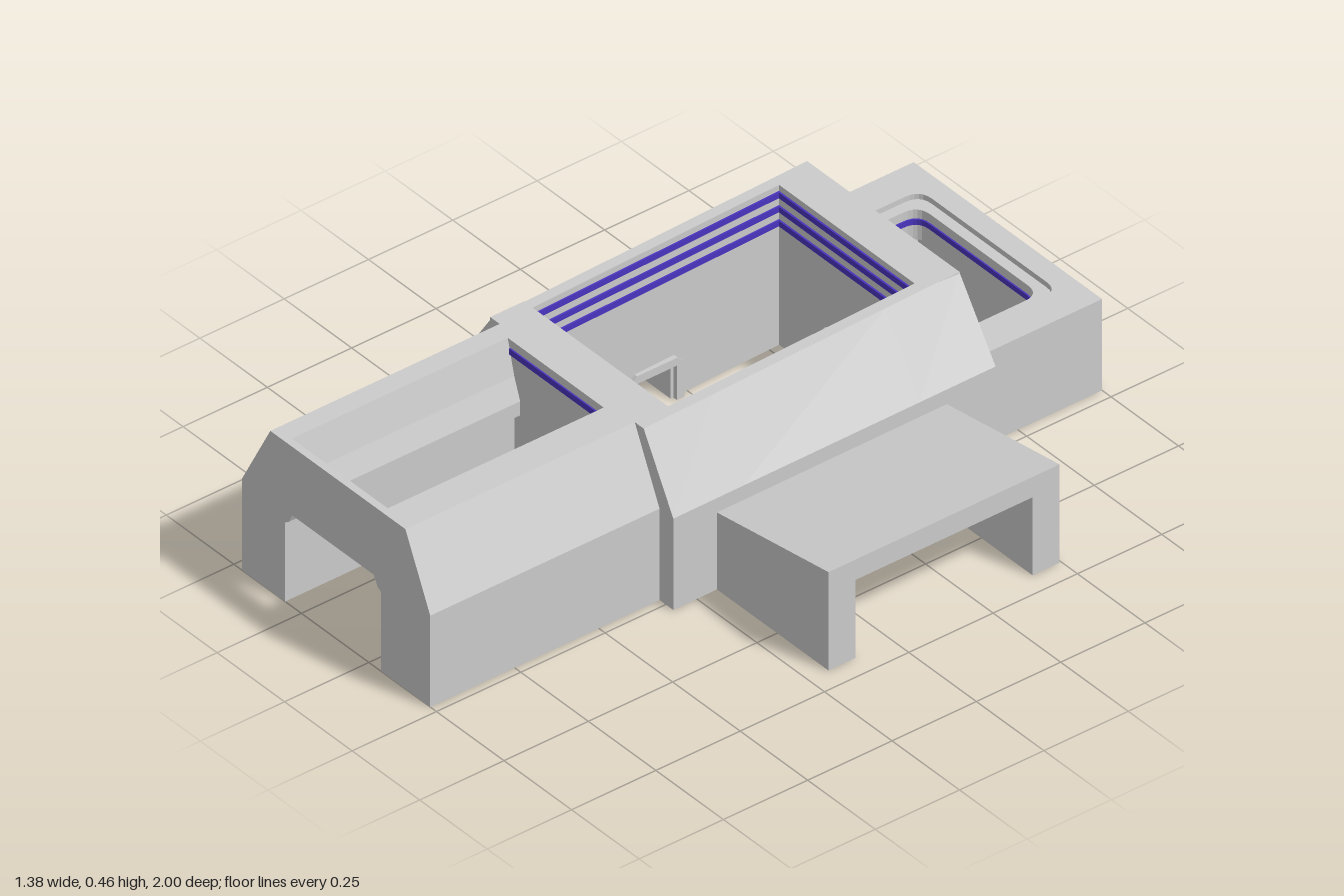
import * as THREE from 'three';

const GREY = 0xcccccc, BLUE = 0x4a35c0, PURPLE = 0x4a2a55;
const material = (color) => new THREE.MeshStandardMaterial({ color, flatShading: true, side: THREE.DoubleSide });
const grey = material(GREY), blue = material(BLUE), purple = material(PURPLE);

export function createModel() {
  const root = new THREE.Group();

  const add = (name, geometry, mat = grey, parent = root) => {
    const mesh = new THREE.Mesh(geometry, mat);
    mesh.name = name;
    parent.add(mesh);
  };
  const toShape = (pts) => (pts instanceof THREE.Shape ? pts : new THREE.Shape(pts.map(([a, b]) => new THREE.Vector2(a, b))));
  // outline in (x, y) swept along z
  const sweepZ = (pts, z0, z1) =>
    new THREE.ExtrudeGeometry(toShape(pts), { depth: z1 - z0, bevelEnabled: false, curveSegments: 8 }).translate(0, 0, z0);
  // outline in (z, y) swept along x
  const sweepX = (pts, x0, x1) =>
    sweepZ(pts.map(([z, y]) => [-z, y]), x0, x1).rotateY(Math.PI / 2);
  const box = (x0, x1, y0, y1, z0, z1) =>
    new THREE.BoxGeometry(x1 - x0, y1 - y0, z1 - z0).translate((x0 + x1) / 2, (y0 + y1) / 2, (z0 + z1) / 2);
  const roundRect = (s, x0, x1, y0, y1, r) => {
    s.moveTo(x0 + r, y0);
    s.lineTo(x1 - r, y0).quadraticCurveTo(x1, y0, x1, y0 + r);
    s.lineTo(x1, y1 - r).quadraticCurveTo(x1, y1, x1 - r, y1);
    s.lineTo(x0 + r, y1).quadraticCurveTo(x0, y1, x0, y1 - r);
    s.lineTo(x0, y0 + r).quadraticCurveTo(x0, y0, x0 + r, y0);
    return s;
  };
  // wall (x0..x1, 0..h) with an arched doorway open to the ground
  const archWall = (x0, x1, h, a0, a1, ah, r) => {
    const s = new THREE.Shape();
    s.moveTo(x0, 0);
    s.lineTo(a0, 0);
    s.lineTo(a0, ah - r);
    s.absarc(a0 + r, ah - r, r, Math.PI, Math.PI / 2, true);
    s.absarc(a1 - r, ah - r, r, Math.PI / 2, 0, true);
    s.lineTo(a1, 0);
    s.lineTo(x1, 0);
    s.lineTo(x1, h);
    s.lineTo(x0, h);
    s.closePath();
    return s;
  };

  // main hall: the roof and inner walls are slightly skewed along z
  const H = 0.455, SH = 0.26;
  const skew = (geo) => {
    const p = geo.attributes.position;
    for (let i = 0; i < p.count; i++) {
      const full = p.getY(i) > 0.3 || Math.abs(p.getX(i) + 0.128) < 0.27;
      p.setX(i, p.getX(i) + (p.getZ(i) + 0.16) * (full ? 0.032 : 0.006));
    }
    geo.computeVertexNormals();
    return geo;
  };
  const hall = new THREE.Group();
  hall.name = 'mainHall';
  root.add(hall);

  const IL = -0.38, IR = 0.122;
  const sideWall = (name, side, sections) => {
    const [out, top, inn] = side < 0 ? [-0.528, -0.41, IL] : [0.275, 0.153, IR];
    // each section: [z0, z1, height of the underside]
    for (const [z0, z1, y] of sections)
      add(name, skew(sweepZ([[out, y], [out, SH], [top, H], [inn, H], [inn, y]], z0, z1)), grey, hall);
  };
  sideWall('hallRightWall', -1, [[-0.64, -0.2, 0], [-0.2, -0.1, 0.105], [-0.1, 0.32, 0]]);
  sideWall('hallLeftWall', 1, [[-0.64, -0.415, 0], [-0.415, 0.11, 0.18], [0.11, 0.32, 0]]);

  const doorL = -0.235, doorR = -0.025, doorH = 0.15;
  for (const [name, z0, z1] of [['hallFrontWall', 0.22, 0.32], ['hallBackWall', -0.64, -0.53]])
    add(name, sweepZ(archWall(-0.4, 0.14, H, doorL, doorR, doorH, 0.055), z0, z1), grey, hall);

  // raised arch trims around both doors
  const trim = new THREE.Shape();
  trim.moveTo(doorL - 0.01, 0);
  trim.lineTo(doorL - 0.01, doorH - 0.055);
  trim.absarc(doorL + 0.055, doorH - 0.055, 0.065, Math.PI, Math.PI / 2, true);
  trim.absarc(doorR - 0.055, doorH - 0.055, 0.065, Math.PI / 2, 0, true);
  trim.lineTo(doorR + 0.01, 0);
  trim.lineTo(doorR, 0);
  trim.lineTo(doorR, doorH - 0.055);
  trim.absarc(doorR - 0.055, doorH - 0.055, 0.055, 0, Math.PI / 2, false);
  trim.absarc(doorL + 0.055, doorH - 0.055, 0.055, Math.PI / 2, Math.PI, false);
  trim.lineTo(doorL, 0);
  trim.closePath();
  for (const z of [0.32, 0.208, -0.53]) add('doorTrim', sweepZ(trim, z, z + 0.012), grey, hall);

  // three bands of light below the roof opening
  for (const y of [0.43, 0.39, 0.35]) {
    const h = 0.016, t = 0.005;
    add('lightBand', skew(box(IL, IL + t, y - h / 2, y + h / 2, -0.53, 0.22)), blue, hall);
    add('lightBand', skew(box(IR - t, IR, y - h / 2, y + h / 2, -0.53, 0.22)), blue, hall);
    for (const z of [-0.53, 0.22 - t])
      add('lightBand', skew(box(IL, IR, y - h / 2, y + h / 2, z, z + t)), blue, hall);
  }

  // front corridor: two thick sides with an inner ledge, joined by end beams
  const corridor = new THREE.Group();
  corridor.name = 'frontCorridor';
  root.add(corridor);
  const corridorSide = (out, top, inn, s) => [
    [out, 0], [out, SH], [top, H], [inn, H], [inn + s * 0.024, 0.36], [inn + s * 0.046, 0.3],
    [inn + s * 0.046, SH], [inn + s * 0.026, SH], [inn + s * 0.014, 0.235], [inn, 0.225], [inn, 0],
  ];
  add('corridorRightSide', sweepZ(corridorSide(-0.47, -0.365, -0.31, 1), 0.32, 1), grey, corridor);
  add('corridorLeftSide', sweepZ(corridorSide(0.227, 0.135, 0.045, -1), 0.32, 1), grey, corridor);
  for (const z of [0.32, 0.98])
    add('corridorBeam', box(-0.312, 0.047, SH, H, z, z + 0.02), grey, corridor);
  add('corridorLight', box(-0.3, 0.035, 0.415, 0.432, 0.34, 0.344), blue, corridor);

  // rear chamber: block with a rounded well, stepped rim and light ring
  const rear = new THREE.Group();
  rear.name = 'rearChamber';
  root.add(rear);
  const block = [[-0.48, 0.64], [0.217, 0.64], [0.217, 1], [-0.48, 1]];
  const slab = (name, outer, hole, y0, y1, mat = grey) => {
    outer.holes.push(roundRect(new THREE.Path(), ...hole));
    const g = new THREE.ExtrudeGeometry(outer, { depth: y1 - y0, bevelEnabled: false, curveSegments: 6 });
    add(name, g.rotateX(-Math.PI / 2).translate(0, y0, 0), mat, rear);
  };
  const rim = [-0.385, 0.128, 0.645, 0.942, 0.045], well = [-0.355, 0.095, 0.668, 0.913, 0.045];
  slab('chamberTop', toShape(block), rim, 0.245, SH);
  slab('chamberRim', toShape(block), well, 0.16, 0.245);
  slab('chamberLight', roundRect(new THREE.Shape(), ...well), [-0.351, 0.091, 0.672, 0.909, 0.042], 0.205, 0.22, blue);
  // lower walls, open towards the hall door
  const lower = [[-0.48, 0.64], [-0.48, 1], [0.217, 1], [0.217, 0.64], [doorR, 0.64], [doorR, 0.668],
    [0.095, 0.668], [0.095, 0.913], [-0.355, 0.913], [-0.355, 0.668], [doorL, 0.668], [doorL, 0.64]];
  add('chamberWalls', sweepZ(lower, 0, 0.16).rotateX(-Math.PI / 2), grey, rear);

  // small gussets between the chamber roof and the hall
  for (const x of [-0.42, 0.125])
    add('gusset', sweepX([[-0.63, SH], [-0.68, SH], [-0.63, 0.305]], x, x + 0.04), grey, rear);

  // left side bay: sloped roof on two walls, open at the end
  const bay = new THREE.Group();
  bay.name = 'sideBay';
  root.add(bay);
  const X0 = 0.27, X1 = 0.69;
  for (const [z0, z1] of [[0.11, 0.19], [-0.495, -0.415]])
    add('bayWall', sweepZ([[X0, 0], [X1, 0], [X1, 0.28], [X0, 0.218]], z0, z1), grey, bay);
  add('bayRoof', sweepZ([[X0, 0.2], [X0, 0.218], [X1, 0.28], [X1, 0.222], [X1 - 0.03, 0.222]], -0.415, 0.11), grey, bay);
  add('bayCeiling', sweepZ([[X0, 0.193], [X0, 0.2], [X1 - 0.02, 0.222], [X1 - 0.02, 0.205]], -0.415, 0.11), purple, bay);

  // right side hatch: small passage with a framed, inset end
  const hatch = new THREE.Group();
  hatch.name = 'sideHatch';
  root.add(hatch);
  const arch = (z0, z1, h, t, c) => [
    [z0, 0], [z0, h - c], [z0 + c, h], [z1 - c, h], [z1, h - c], [z1, 0],
    [z1 - t, 0], [z1 - t, h - t], [z0 + t, h - t], [z0 + t, 0],
  ];
  add('hatchPassage', sweepX(arch(-0.23, -0.08, 0.115, 0.022, 0.012), -0.685, -0.52), grey, hatch);
  add('hatchFrame', sweepX(arch(-0.218, -0.092, 0.103, 0.016, 0.008), -0.692, -0.67), grey, hatch);
  add('hatchPanel', box(-0.684, -0.676, 0, 0.09, -0.205, -0.105), grey, hatch);
  add('hatchInnerTrim', sweepX(arch(-0.23, -0.07, 0.12, 0.022, 0.02), -0.39, -0.368), grey, hatch);

  return root;
}
